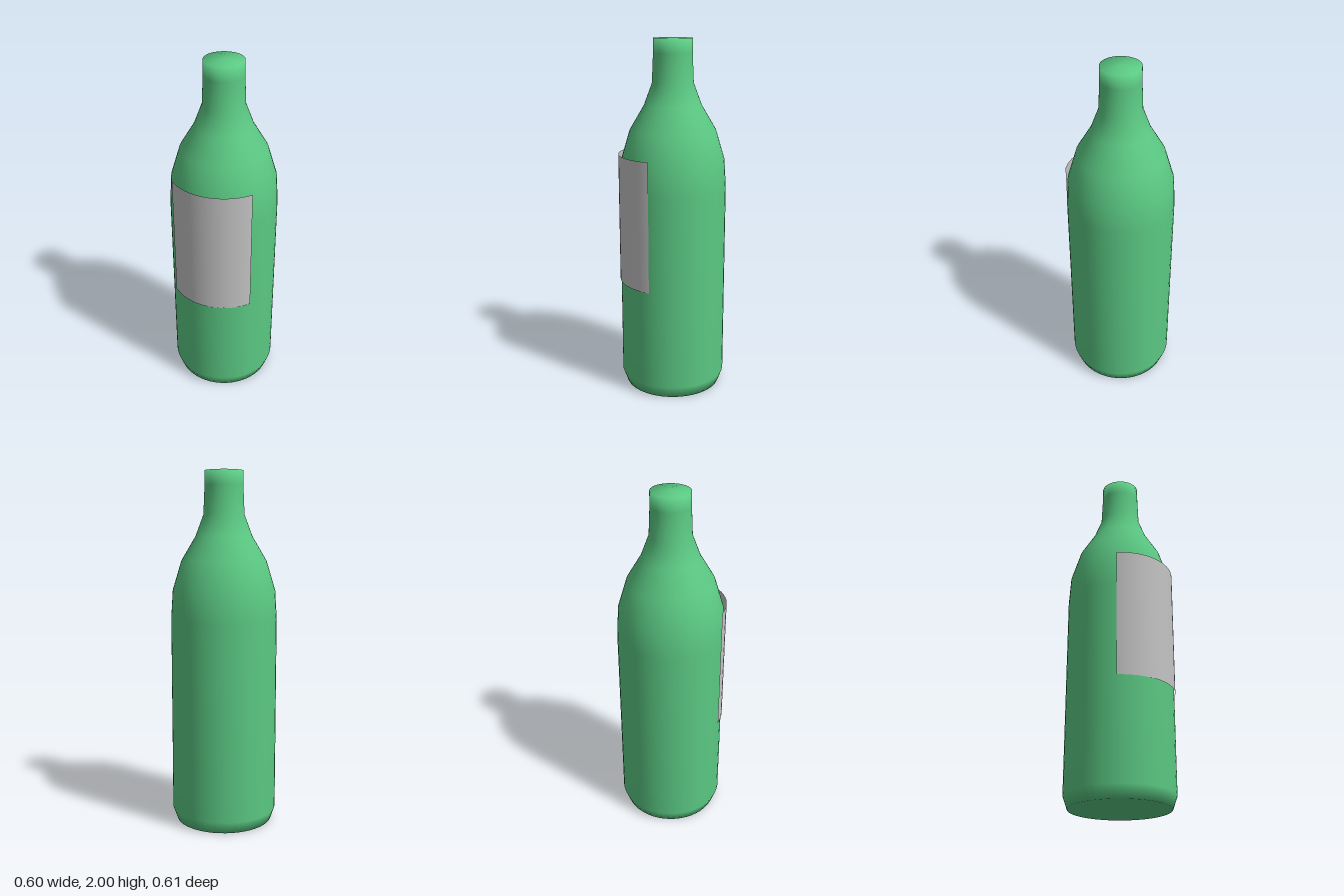
import * as THREE from 'three';

const glassGreen = new THREE.MeshStandardMaterial({ name: 'glass green', color: 0x5bc983 });
const labelGrey = new THREE.MeshStandardMaterial({ name: 'label grey', color: 0xc4c4c4, side: THREE.DoubleSide });

// Half outline of the bottle, from the base centre up to the closed mouth
const PROFILE = [
  [0, 0], [0.275, 0], [0.3, 0.07], [0.3, 1.18], [0.29, 1.34],
  [0.24, 1.505], [0.16, 1.64], [0.115, 1.76], [0.108, 1.92], [0.108, 2], [0, 2],
];

export function createModel() {
  const group = new THREE.Group();
  group.name = 'bottle';

  // Bottle: one smooth revolved surface with closed base and mouth
  const points = PROFILE.map(([r, y]) => new THREE.Vector2(r, y));
  const body = new THREE.Mesh(new THREE.LatheGeometry(points, 48), glassGreen);
  body.name = 'bottleBody';
  group.add(body);

  // Label: thin curved sheet wrapped around the front
  const radius = 0.306, bottom = 0.635, top = 1.37;
  const half = Math.asin(0.225 / radius);
  const label = new THREE.Mesh(
    new THREE.CylinderGeometry(radius, radius, top - bottom, 16, 1, true, -half, 2 * half),
    labelGrey,
  );
  label.name = 'frontLabel';
  label.position.y = (top + bottom) / 2;
  group.add(label);

  return group;
}
